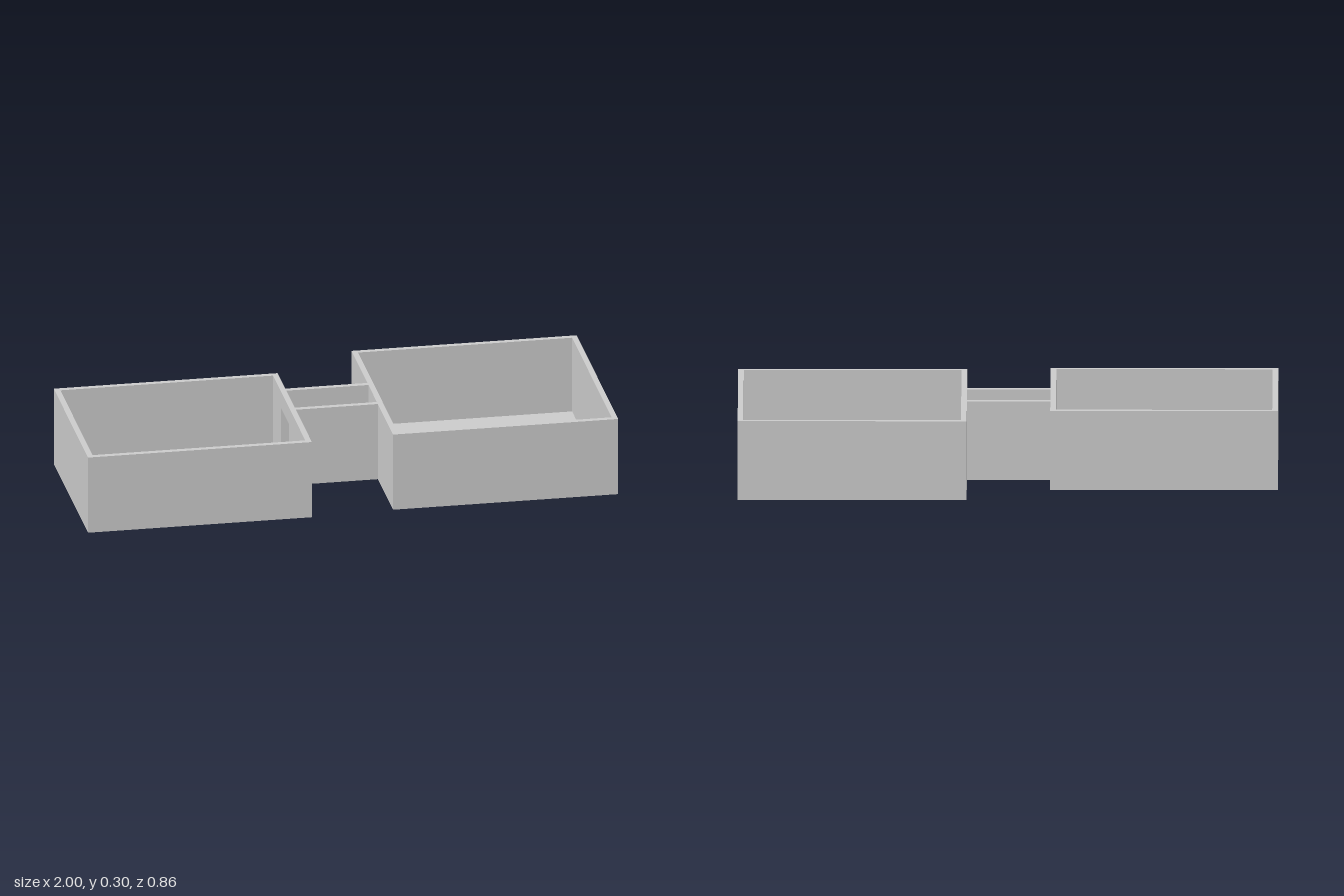
import * as THREE from 'three';

const H = 0.3;        // wall height
const T = 0.021;      // wall thickness
const FLOOR = 0.006;  // floor slab thickness
const DOOR = { z0: -0.088, z1: 0.083, top: 0.235 };

const material = new THREE.MeshStandardMaterial({ color: 0xcccccc, flatShading: true });

// Box given by its limits on each axis
function block(name, [x0, x1], [y0, y1], [z0, z1]) {
  const geometry = new THREE.BoxGeometry(x1 - x0, y1 - y0, z1 - z0);
  geometry.translate((x0 + x1) / 2, (y0 + y1) / 2, (z0 + z1) / 2);
  const mesh = new THREE.Mesh(geometry, material);
  mesh.name = name;
  return mesh;
}

// Side wall running along z, pierced by a doorway that reaches the floor
function doorWall(x0, x1, z0, z1) {
  const shape = new THREE.Shape([
    [z0, 0], [DOOR.z0, 0], [DOOR.z0, DOOR.top], [DOOR.z1, DOOR.top],
    [DOOR.z1, 0], [z1, 0], [z1, H], [z0, H],
  ].map(([z, y]) => new THREE.Vector2(-z, y)));
  const geometry = new THREE.ExtrudeGeometry(shape, { depth: x1 - x0, bevelEnabled: false });
  geometry.rotateY(Math.PI / 2).translate(x0, 0, 0);
  const mesh = new THREE.Mesh(geometry, material);
  mesh.name = 'doorwayWall';
  return mesh;
}

// Open-topped room; doorSide is +1 or -1 for the x side holding the doorway
function room(name, x0, x1, z0, z1, doorSide) {
  const group = new THREE.Group();
  group.name = name;
  const low = [x0, x0 + T], high = [x1 - T, x1];
  const inner = [z0 + T, z1 - T];
  const [door, plain] = doorSide > 0 ? [high, low] : [low, high];
  group.add(
    block('floor', [x0 + T / 2, x1 - T / 2], [0, FLOOR], [z0 + T / 2, z1 - T / 2]),
    block('backWall', [x0, x1], [0, H], [z0, z0 + T]),
    block('frontWall', [x0, x1], [0, H], [z1 - T, z1]),
    block('outerWall', plain, [0, H], inner),
    doorWall(door[0], door[1], inner[0], inner[1]),
  );
  return group;
}

export function createModel() {
  const model = new THREE.Group();
  model.name = 'floorPlan';

  // Two rooms facing each other
  model.add(room('rightRoom', -1, -0.157, -0.265, 0.43, 1));
  model.add(room('leftRoom', 0.152, 1, -0.432, 0.412, -1));

  // Corridor joining the two doorways
  const corridor = new THREE.Group();
  corridor.name = 'corridor';
  const span = [-0.157, 0.152];
  corridor.add(
    block('corridorFloor', [-0.17, 0.165], [0, FLOOR], [DOOR.z0, DOOR.z1]),
    block('corridorBackWall', span, [0, H], [DOOR.z0 - T, DOOR.z0]),
    block('corridorFrontWall', span, [0, H], [DOOR.z1, DOOR.z1 + T]),
  );
  model.add(corridor);
  return model;
}
